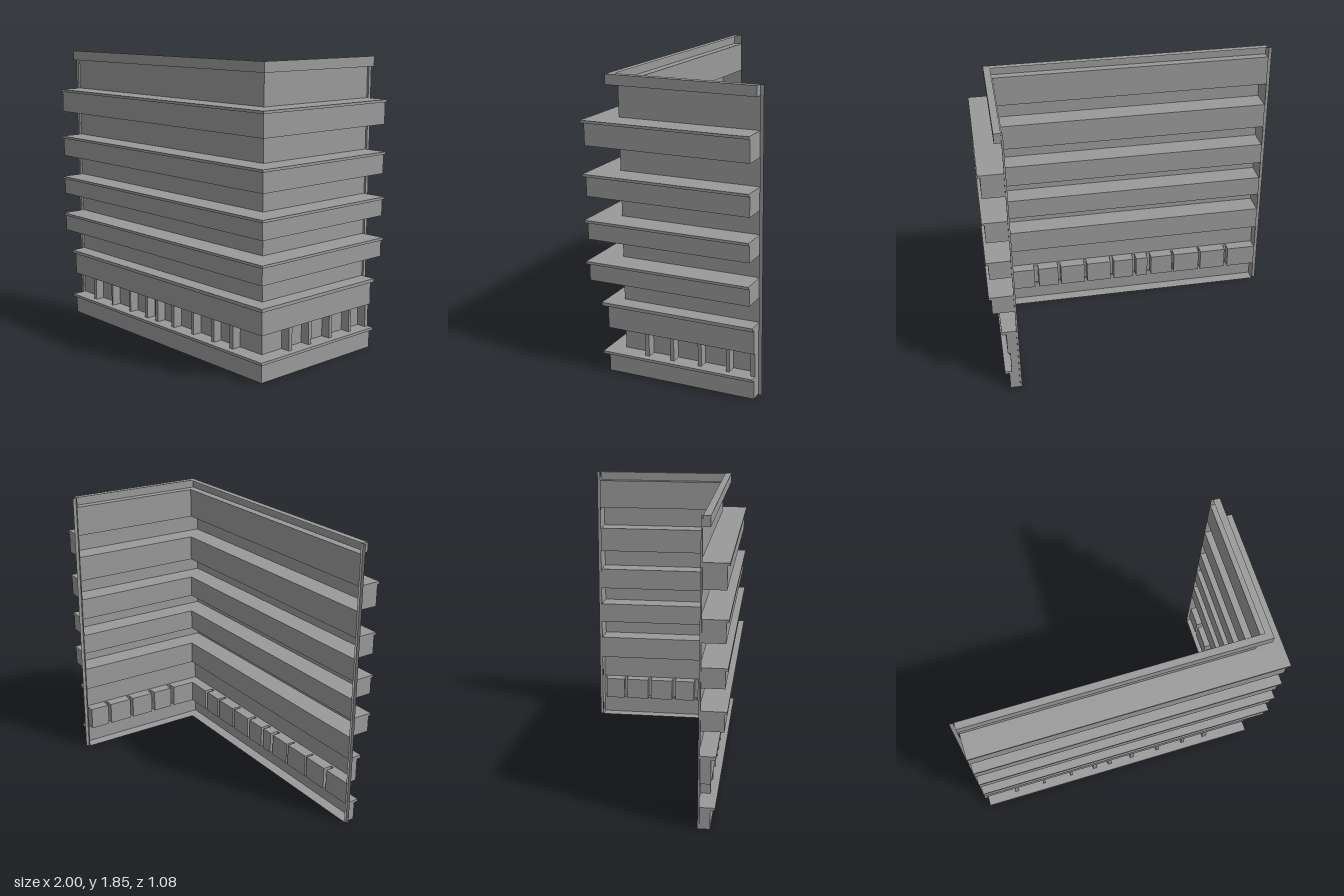
import * as THREE from 'three';

const WALL = 0.375;    // depth of the recessed wall plane on the front run
const TURN = 0.46;     // the side run lies at x = z + TURN
const XEND = -0.972;   // free end of the bands on the front run
const ZEND = -0.512;   // free end of the bands on the side run

const mat = new THREE.MeshStandardMaterial({ color: 0x9a9a9a, side: THREE.DoubleSide });

function quadMesh(name, quads) {
  const pos = [];
  for (const [a, b, c, d] of quads) pos.push(...a, ...b, ...c, ...a, ...c, ...d);
  const g = new THREE.BufferGeometry();
  g.setAttribute('position', new THREE.Float32BufferAttribute(pos, 3));
  g.computeVertexNormals();
  const m = new THREE.Mesh(g, mat);
  m.name = name;
  return m;
}

// Sweeps a [depth, height] profile round the corner and closes both free ends
function ledge(name, profile) {
  const group = new THREE.Group();
  group.name = name;
  const path = ([z, y]) => [[XEND, y, z], [z + TURN, y, z], [z + TURN, y, ZEND]];
  const quads = [];
  for (let i = 0; i < profile.length - 1; i++) {
    const p = path(profile[i]), q = path(profile[i + 1]);
    for (let k = 0; k < 2; k++) quads.push([p[k], p[k + 1], q[k + 1], q[k]]);
  }
  group.add(quadMesh(name + 'Face', quads));

  const outline = [[WALL, profile[0][1]], ...profile, [WALL, profile[profile.length - 1][1]]];
  const shape = new THREE.Shape(outline.map(([z, y]) => new THREE.Vector2(z, y)));
  const sideCap = new THREE.Mesh(new THREE.ShapeGeometry(shape), mat);
  sideCap.name = name + 'SideEnd';
  sideCap.rotation.y = Math.PI;
  sideCap.scale.x = -1;
  sideCap.position.set(TURN, 0, ZEND);
  const frontCap = new THREE.Mesh(new THREE.ShapeGeometry(shape), mat);
  frontCap.name = name + 'FrontEnd';
  frontCap.rotation.y = -Math.PI / 2;
  frontCap.position.x = XEND;
  group.add(sideCap, frontCap);
  return group;
}

// Upright sheet following an [x, z] plan line
function sheet(name, plan, y0, y1) {
  const quads = [];
  for (let i = 0; i < plan.length - 1; i++) {
    const [ax, az] = plan[i], [bx, bz] = plan[i + 1];
    quads.push([[ax, y0, az], [bx, y0, bz], [bx, y1, bz], [ax, y1, az]]);
  }
  return quadMesh(name, quads);
}

export function createModel() {
  const model = new THREE.Group();
  model.name = 'cornerFacade';
  const xw = WALL + TURN;
  const xWallEnd = -0.976, zWallEnd = -0.515;

  // Base plinth with a sill lip
  const fin = 0.435, sill = 0.137, soffit = 0.286;
  model.add(ledge('plinth', [[WALL, 0], [0.45, 0], [0.45, 0.12], [0.478, 0.12], [0.478, sill], [fin, sill]]));

  // Band above the ground-floor windows
  model.add(ledge('lowerBand', [[fin, soffit], [0.45, soffit], [0.45, 0.437], [0.478, 0.437], [0.478, 0.458], [WALL, 0.458]]));

  // Projecting balcony bands: underside and top of each
  const floors = [[0.612, 0.734], [0.871, 0.992], [1.136, 1.273], [1.441, 1.593]];
  for (const [y0, y1] of floors) {
    model.add(ledge('balconyBand', [[WALL, y0], [0.523, y0], [0.523, y1 - 0.016], [0.538, y1 - 0.016], [0.538, y1], [WALL, y1]]));
  }

  // Roof cornice
  const roof = 1.85, eaves = 1.788;
  model.add(ledge('cornice', [[WALL, eaves], [0.429, eaves], [0.429, roof], [0.386, roof]]));

  // Recessed walls between the bands
  const recess = [[xWallEnd, WALL], [xw, WALL], [xw, zWallEnd]];
  const tops = [0.458, ...floors.map((f) => f[1])];
  const bottoms = [...floors.map((f) => f[0]), eaves];
  tops.forEach((y, i) => model.add(sheet('recessedWall', recess, y, bottoms[i])));

  // Ground-floor window wall folded round hollow fins
  const frontFins = [[-0.775, -0.75], [-0.57, -0.555], [-0.37, -0.355], [-0.2, -0.172], [-0.09, -0.065],
    [0.075, 0.1], [0.27, 0.29], [0.46, 0.48], [0.62, 0.65]];
  const sideFins = [[0.21, 0.182], [0.04, 0.015], [-0.145, -0.168], [-0.328, -0.35], [-0.485, ZEND]];
  const xf = fin + TURN;
  const plan = [[xWallEnd, WALL]];
  for (const [a, b] of frontFins) plan.push([a, WALL], [a, fin], [b, fin], [b, WALL]);
  plan.push([xw, WALL]);
  for (const [a, b] of sideFins) plan.push([xw, a], [xf, a], [xf, b], [xw, b]);
  model.add(sheet('windowWall', plan, sill, soffit));

  // Floor and soffit of every bay between the fins
  const bays = [];
  const addBay = (x0, x1, z0, z1) => {
    bays.push([[x0, sill, z1], [x1, sill, z1], [x1, sill, z0], [x0, sill, z0]]);
    bays.push([[x0, soffit, z0], [x1, soffit, z0], [x1, soffit, z1], [x0, soffit, z1]]);
  };
  let start = XEND;
  for (const [a, b] of [...frontFins, [xf, xf]]) {
    addBay(start, a, WALL, fin);
    start = b;
  }
  start = WALL;
  for (const [a, b] of sideFins) {
    addBay(xw, xf, a, start);
    start = b;
  }
  model.add(quadMesh('bayFloorsAndSoffits', bays));

  // Full-height edge strips at the two free ends, set just proud of the wall
  const t = 0.012;
  model.add(sheet('frontEdgeStrip', [[-1, WALL + t], [xWallEnd, WALL + t], [xWallEnd, WALL]], 0, roof));
  model.add(sheet('sideEdgeStrip', [[xw, zWallEnd], [xw + t, zWallEnd], [xw + t, -0.537]], 0, roof));

  return model;
}
